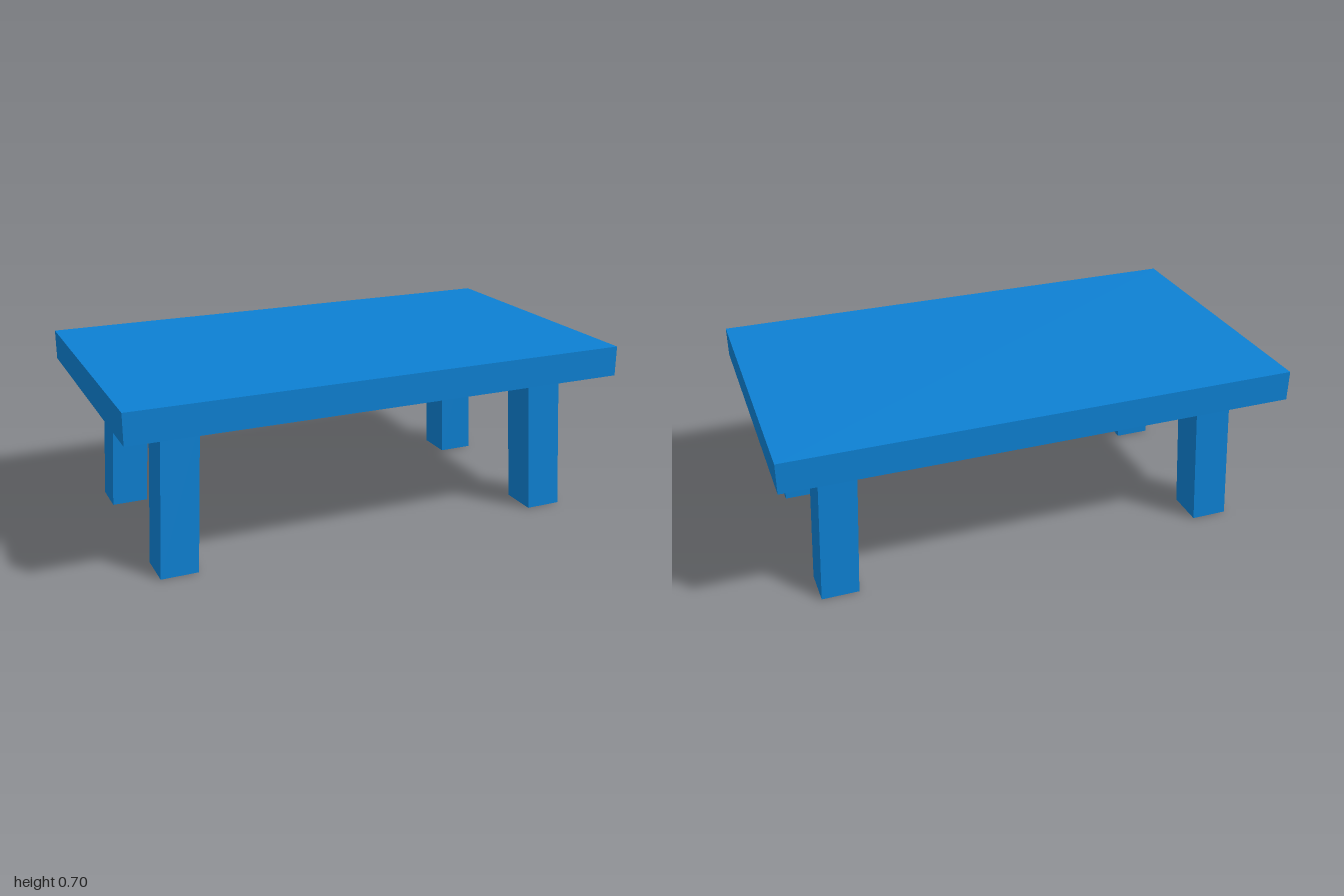
import * as THREE from 'three';

const LEG_HEIGHT = 0.585;
const TOP_THICKNESS = 0.12;

export function createModel() {
  const table = new THREE.Group();
  table.name = 'table';
  const material = new THREE.MeshStandardMaterial({ color: 0x0d80d2, flatShading: true });

  // Thick rectangular slab
  const top = new THREE.Mesh(new THREE.BoxGeometry(2, TOP_THICKNESS, 1.155), material);
  top.name = 'tableTop';
  top.position.y = LEG_HEIGHT + TOP_THICKNESS / 2;
  table.add(top);

  // Square legs, leaning outwards towards the floor
  for (const sx of [-1, 1]) {
    for (const sz of [-1, 1]) {
      const geometry = new THREE.BoxGeometry(0.146, LEG_HEIGHT, 0.152);
      const p = geometry.attributes.position;
      for (let i = 0; i < p.count; i++) {
        const atFloor = p.getY(i) < 0;
        p.setX(i, p.getX(i) + sx * (atFloor ? 0.794 : 0.762));
        p.setZ(i, p.getZ(i) + sz * (atFloor ? 0.368 : 0.353));
      }
      geometry.computeVertexNormals();
      const leg = new THREE.Mesh(geometry, material);
      leg.name = (sz > 0 ? 'front' : 'back') + (sx > 0 ? 'Left' : 'Right') + 'Leg';
      leg.position.y = LEG_HEIGHT / 2;
      table.add(leg);
    }
  }
  return table;
}
